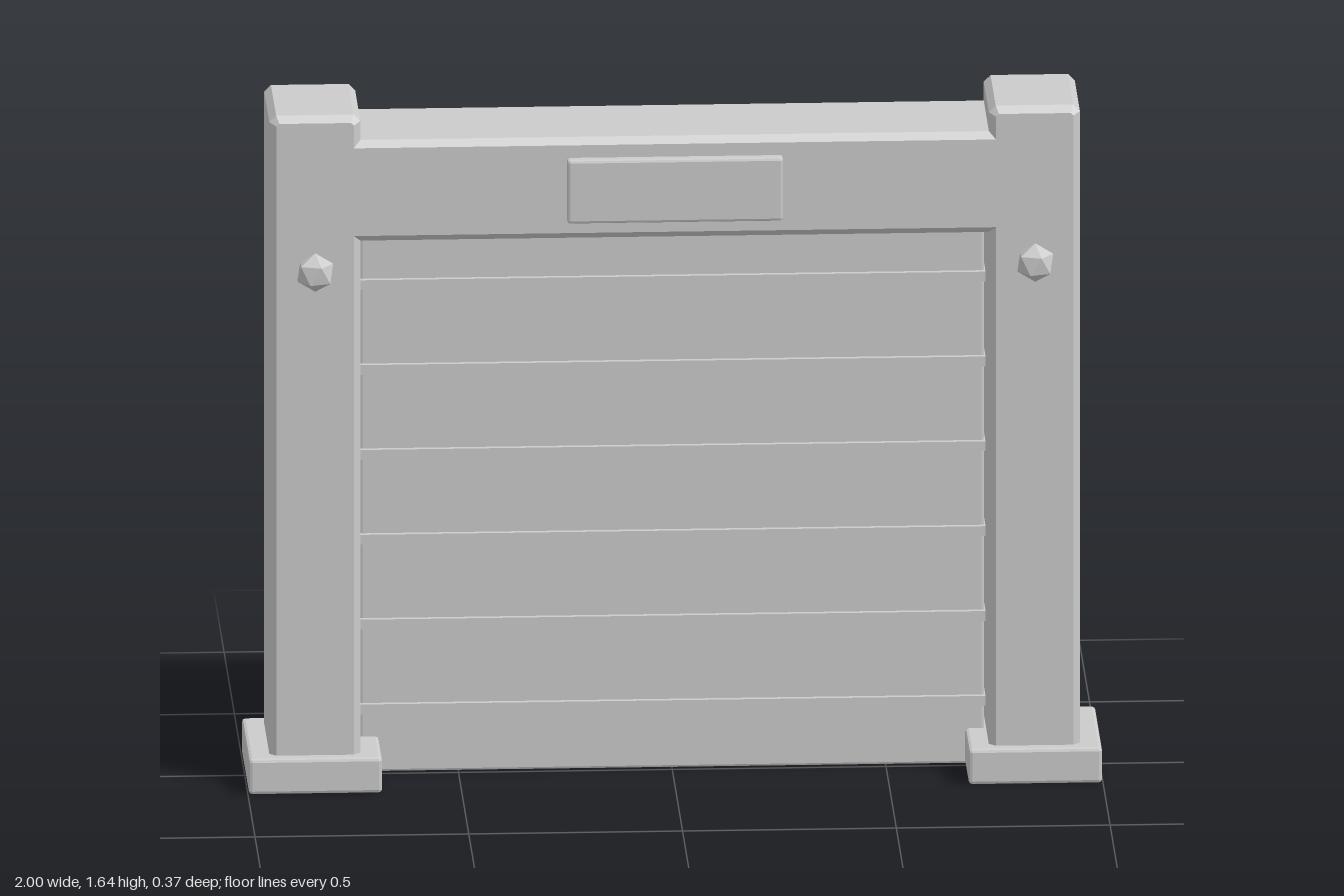
import * as THREE from 'three';
import { RoundedBoxGeometry } from 'three/addons/geometries/RoundedBoxGeometry.js';

const material = new THREE.MeshStandardMaterial({ color: 0xcccccc, flatShading: true });

function add(group, name, geometry, x = 0, y = 0, z = 0) {
  const mesh = new THREE.Mesh(geometry, material);
  mesh.name = name;
  mesh.position.set(x, y, z);
  group.add(mesh);
  return mesh;
}

// Box with one flat chamfer along its edges
const chamferBox = (w, h, d, c) => new RoundedBoxGeometry(w, h, d, 1, c);

// Two posts and a lintel as one outline with chamfered edges
function frameGeometry() {
  const c = 0.016, base = 0.03;
  const outer = 0.948, inner = 0.735, postTop = 1.658, beamTop = 1.596, openTop = 1.35;
  const half = [
    [inner, openTop], [inner, base], [outer, base],
    [outer, postTop - c], [outer - c, postTop],
    [inner + c, postTop], [inner, postTop - c], [inner, beamTop],
  ];
  const mirrored = half.map(([x, y]) => [-x, y]).reverse();
  const shape = new THREE.Shape([...half, ...mirrored].map(([x, y]) => new THREE.Vector2(x, y)));
  const geometry = new THREE.ExtrudeGeometry(shape, {
    depth: 0.28 - 2 * c,
    bevelEnabled: true, bevelSegments: 1,
    bevelSize: c, bevelThickness: c, bevelOffset: -c,
  });
  return geometry.translate(0, 0, -0.15 + c);
}

export function createModel() {
  const group = new THREE.Group();
  group.name = 'gate';

  add(group, 'frame', frameGeometry());

  // Recessed door with horizontal ribs on both faces
  const doorZ = -0.04;
  add(group, 'doorPanel', chamferBox(1.46, 1.35, 0.05, 0.006), 0, 0.69, doorZ);
  for (let i = 0; i < 6; i++) {
    add(group, 'doorRib', new THREE.BoxGeometry(1.466, 0.024, 0.075), 0, 0.171 + i * 0.207, doorZ);
  }

  // Sign plate on the lintel
  add(group, 'signPlate', chamferBox(0.505, 0.155, 0.04, 0.007), 0, 1.472, 0.134);

  // Feet and faceted lamps on both posts
  const lamp = new THREE.IcosahedronGeometry(0.047, 0).rotateZ(-Math.atan(2 / (1 + Math.sqrt(5))));
  for (const side of [-1, 1]) {
    add(group, 'foot', chamferBox(0.312, 0.086, 0.345, 0.008), side * 0.842, 0.058, -0.012);
    add(group, 'lamp', lamp, side * 0.842, 1.283, 0.145);
  }
  return group;
}
